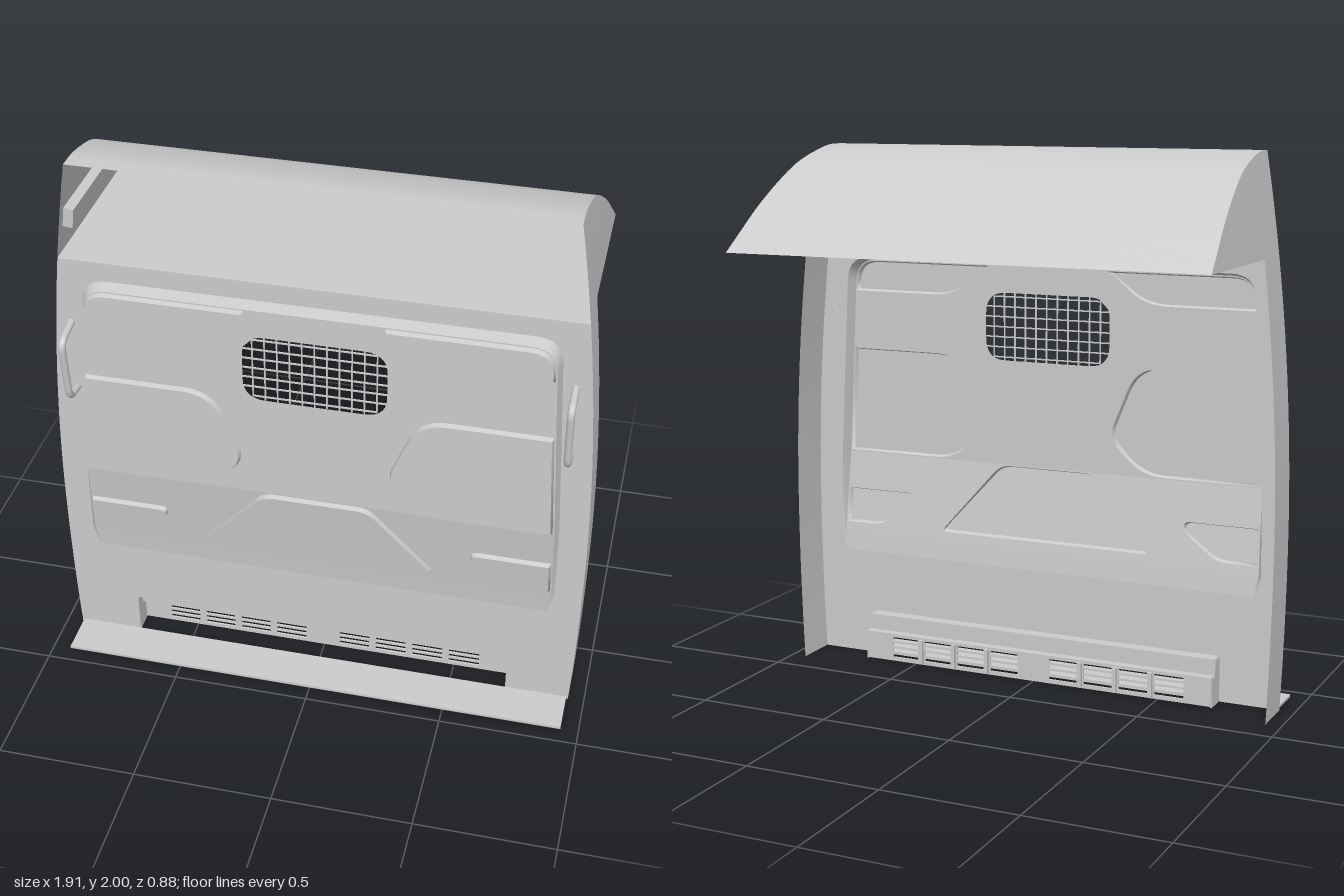
import * as THREE from 'three';

const material = new THREE.MeshStandardMaterial({ color: 0xcccccc, side: THREE.DoubleSide });
const { lerp, mapLinear } = THREE.MathUtils;
const FRONT = 0.28, BACK = 0.11, SHELF = 1.64;

// Half width of the partition at a height: a gentle barrel curve
const halfWidth = (y) => 0.957 - (y < 0.65 ? 0.036 : 0.062) * (y - 0.65) ** 2;
// Half width of the embossed panel
const panelHalf = (y) => (y > 0.8 ? mapLinear(y, 0.8, 1.57, 0.855, 0.815) : mapLinear(y, 0.41, 0.8, 0.862, 0.855));
// Depth of the embossed panel: flat above, sloping back to the wall below
function panelZ(y) {
  if (y >= 0.8) return 0.325;
  return y > 0.49 ? mapLinear(y, 0.49, 0.8, 0.288, 0.325) : mapLinear(y, 0.41, 0.49, FRONT, 0.288);
}

export function createModel() {
  const model = new THREE.Group();

  const add = (name, geometry, x = 0, y = 0, z = 0) => {
    const mesh = new THREE.Mesh(geometry, material);
    mesh.name = name;
    mesh.position.set(x, y, z);
    model.add(mesh);
    return mesh;
  };
  const box = (name, w, h, d, x, y, z) => add(name, new THREE.BoxGeometry(w, h, d), x, y, z);

  // Sheet through a grid of points; fn(i, j) gives [x, y, z]
  const sheet = (name, nu, nv, fn) => {
    const pos = [], index = [];
    for (let i = 0; i <= nu; i++) for (let j = 0; j <= nv; j++) pos.push(...fn(i, j));
    for (let i = 0; i < nu; i++) for (let j = 0; j < nv; j++) {
      const a = i * (nv + 1) + j, b = a + nv + 1;
      index.push(a, b, a + 1, b, b + 1, a + 1);
    }
    const g = new THREE.BufferGeometry();
    g.setAttribute('position', new THREE.Float32BufferAttribute(pos, 3));
    g.setIndex(index);
    g.computeVertexNormals();
    return add(name, g);
  };

  // Polygon from [x, y, cornerRadius] points
  const outline = (corners) => corners.flatMap(([x, y, r = 0], i) => {
    const p = new THREE.Vector2(x, y);
    if (!r) return [p];
    const toward = (k) => {
      const [qx, qy] = corners[(i + k + corners.length) % corners.length];
      return new THREE.Vector2(qx, qy).sub(p).setLength(r).add(p);
    };
    return new THREE.QuadraticBezierCurve(toward(-1), p, toward(1)).getPoints(7);
  });
  const mirror = (pts) => pts.map((p) => new THREE.Vector2(-p.x, p.y));
  const shrink = (pts, d) => {
    const b = new THREE.Box2().setFromPoints(pts);
    const c = b.getCenter(new THREE.Vector2()), s = b.getSize(new THREE.Vector2());
    return pts.map((p) => new THREE.Vector2(
      c.x + (p.x - c.x) * (1 - 2 * d / s.x), c.y + (p.y - c.y) * (1 - 2 * d / s.y)));
  };

  // Filled flat shape whose depth follows zAt(y)
  const face = (name, pts, zAt, holes = []) => {
    const shape = new THREE.Shape(pts);
    shape.holes = holes.map((h) => new THREE.Path(h));
    const g = new THREE.ShapeGeometry(shape);
    const p = g.attributes.position;
    for (let i = 0; i < p.count; i++) p.setZ(i, zAt(p.getY(i)));
    g.computeVertexNormals();
    return add(name, g);
  };
  // Edge band joining two matching loops
  const rim = (name, outer, zOuter, inner, zInner) => sheet(name, outer.length, 1, (i, j) => {
    const p = (j ? inner : outer)[i % outer.length];
    return [p.x, p.y, (j ? zInner : zOuter)(p.y)];
  });

  // Main wall with the panel opening and a notch for the vent
  const panelLoop = (d) => outline([
    [-panelHalf(0.41) + d + 0.02, 0.41], [panelHalf(0.41) - d - 0.02, 0.41],
    [panelHalf(0.49) - d, 0.49], [panelHalf(0.8) - d, 0.8],
    [panelHalf(1.57) - d, 1.57 - d, 0.09], [-panelHalf(1.57) + d, 1.57 - d, 0.09],
    [-panelHalf(0.8) + d, 0.8], [-panelHalf(0.49) + d, 0.49]]);
  const rightEdge = Array.from({ length: 25 }, (_, i) => {
    const y = SHELF * i / 24;
    return new THREE.Vector2(halfWidth(y), y);
  });
  const notch = [[-0.71, 0], [-0.71, 0.17], [0.71, 0.17], [0.71, 0]].map((p) => new THREE.Vector2(...p));
  const panelOuter = panelLoop(0), panelInner = panelLoop(0.012);
  face('wall', [...notch, ...rightEdge, ...mirror(rightEdge).reverse()], () => FRONT, [panelOuter]);
  rim('panelEdge', panelOuter, () => FRONT, panelInner, panelZ);

  // Embossed pads
  const edge = (y) => panelHalf(y) - 0.018;
  const upperPad = outline([[0.24, 1.553], [edge(1.553), 1.553, 0.08], [edge(1.435), 1.435],
    [0.38, 1.435, 0.09], [0.29, 1.52, 0.04]]);
  const middlePad = outline([[edge(1.21), 1.21], [0.36, 1.21, 0.1], [0.25, 0.94, 0.06],
    [0.38, 0.805, 0.09], [edge(0.805), 0.805]]);
  const lowerPad = outline([[edge(0.655), 0.655], [0.55, 0.655, 0.03], [0.56, 0.615, 0.025],
    [0.69, 0.52, 0.04], [edge(0.52), 0.52]]);
  const centrePad = outline([[-0.19, 0.796, 0.04], [0.19, 0.796, 0.04], [0.43, 0.52, 0.03], [-0.43, 0.52, 0.03]]);
  const padZ = (y) => panelZ(y) + 0.018;
  const pad = (name, loop) => {
    const top = shrink(loop, 0.006);
    rim(name + 'Edge', loop, panelZ, top, padZ);
    face(name, top, padZ);
  };
  pad('centrePad', centrePad);
  for (const [name, loop] of [['upperPad', upperPad], ['middlePad', middlePad], ['lowerPad', lowerPad]]) {
    pad(name + 'Left', loop);
    pad(name + 'Right', mirror(loop));
  }

  // Panel faces: flat upper part, slope, and bottom lip
  const window = outline([[-0.25, 1.2, 0.08], [0.25, 1.2, 0.08], [0.25, 1.455, 0.08], [-0.25, 1.455, 0.08]]);
  face('panelUpper', panelInner.filter((p) => p.y >= 0.8), panelZ,
    [window, upperPad, mirror(upperPad), middlePad, mirror(middlePad)]);
  face('panelSlope', panelInner.filter((p) => p.y >= 0.49 && p.y <= 0.8), panelZ,
    [centrePad, lowerPad, mirror(lowerPad)]);
  face('panelLip', panelInner.filter((p) => p.y <= 0.49), panelZ);

  // Window mesh of thin crossing bars
  for (let i = -5; i <= 5; i++) box('windowBarUpright', 0.005, Math.abs(i) > 4 ? 0.23 : 0.255, 0.005, i * 0.043, 1.3275, 0.322);
  for (let i = -3; i <= 3; i++) box('windowBarAcross', Math.abs(i) > 2 ? 0.43 : 0.5, 0.005, 0.005, 0, 1.3275 + i * 0.038, 0.322);

  // Side flanges and hood end caps
  const roof = new THREE.SplineCurve([[FRONT, 2], [0.2, 1.998], [0.1, 1.977], [-0.02, 1.938],
    [-0.14, 1.872], [-0.26, 1.79], [-0.36, 1.707], [-0.44, SHELF]].map((p) => new THREE.Vector2(...p))).getPoints(28);
  for (const [side, s] of [['Left', 1], ['Right', -1]]) {
    sheet('sideFlange' + side, 24, 1, (i, j) => {
      const y = SHELF * i / 24;
      return [s * halfWidth(y), y, j ? BACK : FRONT];
    });
    sheet('hoodEnd' + side, 28, 6, (i, j) => {
      const y = lerp(SHELF, roof[i].y, j / 6);
      return [s * halfWidth(y), y, roof[i].x];
    });
  }

  // Hood: curved roof over a flat shelf, open at the front
  sheet('hoodRoof', 28, 1, (i, j) => [(j ? 1 : -1) * halfWidth(roof[i].y), roof[i].y, roof[i].x]);
  sheet('hoodShelf', 1, 1, (i, j) => [(j ? 1 : -1) * halfWidth(SHELF), SHELF, i ? -0.44 : FRONT]);
  box('hoodBracket', 0.035, 0.07, 0.45, -0.855, 1.785, 0.03).rotation.z = -0.12;

  // Grab handles
  for (const s of [1, -1]) {
    const path = new THREE.CurvePath();
    const v = (y, z) => new THREE.Vector3(s * 0.868, y, z);
    path.add(new THREE.LineCurve3(v(1.39, FRONT), v(1.375, 0.355)));
    path.add(new THREE.QuadraticBezierCurve3(v(1.375, 0.355), v(1.37, 0.388), v(1.335, 0.385)));
    path.add(new THREE.LineCurve3(v(1.335, 0.385), v(1.165, 0.366)));
    path.add(new THREE.QuadraticBezierCurve3(v(1.165, 0.366), v(1.13, 0.362), v(1.125, 0.335)));
    path.add(new THREE.LineCurve3(v(1.125, 0.335), v(1.12, FRONT)));
    add(s > 0 ? 'handleLeft' : 'handleRight', new THREE.TubeGeometry(path, 48, 0.013, 10));
  }

  // Stepped vent housing behind the notch
  box('ventTop', 1.42, 0.006, 0.05, 0, 0.17, 0.255);
  box('ventUpperFace', 1.42, 0.06, 0.006, 0, 0.14, 0.232);
  box('ventLedge', 1.42, 0.006, 0.04, 0, 0.11, 0.214);
  for (const s of [1, -1]) {
    box('ventSide', 0.006, 0.11, 0.08, s * 0.71, 0.055, 0.24);
    box('ventSideUpper', 0.006, 0.06, 0.05, s * 0.71, 0.14, 0.255);
  }

  // Slotted grille in two groups of four columns
  const rect = (x, y, w, h) => outline([[x, y], [x + w, y], [x + w, y + h], [x, y + h]]);
  const grille = new THREE.Shape(rect(-0.71, 0.005, 1.42, 0.105));
  for (const start of [-0.605, 0.06]) for (let c = 0; c < 4; c++) {
    const x = start + c * 0.14;
    for (let r = 0; r < 4; r++) grille.holes.push(new THREE.Path(rect(x, 0.02 + r * 0.022, 0.115, 0.014)));
    if (c) box('grilleRib', 0.016, 0.095, 0.022, x - 0.0125, 0.058, 0.19);
  }
  add('grille', new THREE.ExtrudeGeometry(grille, { depth: 0.008, bevelEnabled: false }), 0, 0, 0.195);

  // Floor plate in front
  box('floorPlate', 1.87, 0.01, 0.16, 0, 0.005, 0.36);

  return model;
}
